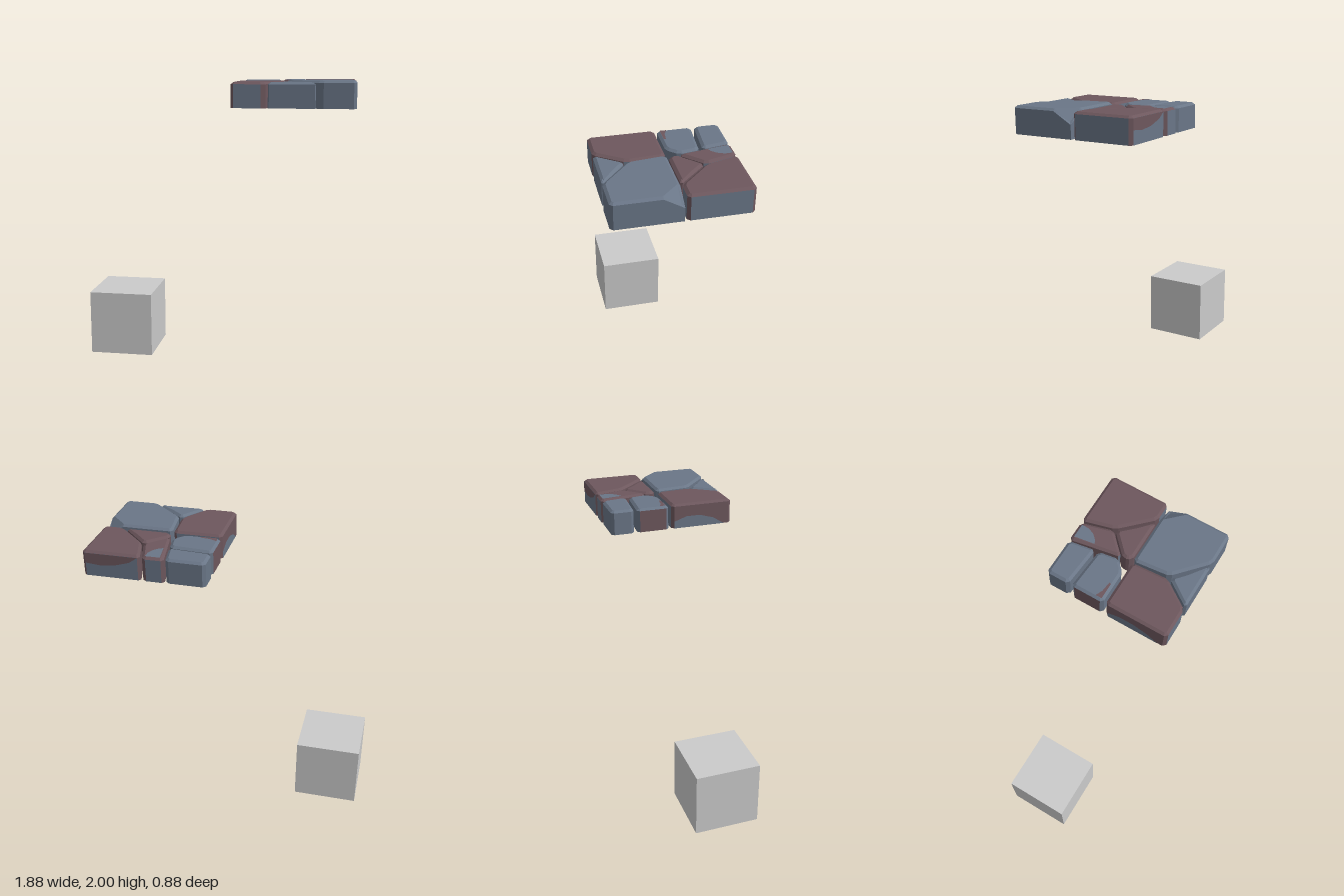
import * as THREE from 'three';

const BASE = 1.82, BEVEL = 0.018;

// Clip sharp corners of a clockwise [x, z, drop] outline, leaving lowered and straight points alone.
function clipCorners(pts, size) {
  const out = [], n = pts.length;
  pts.forEach((p, i) => {
    const a = pts[(i + n - 1) % n], b = pts[(i + 1) % n];
    const la = Math.hypot(a[0] - p[0], a[1] - p[1]), lb = Math.hypot(b[0] - p[0], b[1] - p[1]);
    const ua = [(a[0] - p[0]) / la, (a[1] - p[1]) / la], ub = [(b[0] - p[0]) / lb, (b[1] - p[1]) / lb];
    if (p[2] || ua[0] * ub[0] + ua[1] * ub[1] < -0.97) { out.push(p); return; }
    for (const u of [ua, ub]) out.push([p[0] + u[0] * size, p[1] + u[1] * size]);
  });
  return out;
}

function edgeNormal(a, b) {
  const l = Math.hypot(b[0] - a[0], b[1] - a[1]);
  return [(b[1] - a[1]) / l, (a[0] - b[0]) / l];
}

function inset(pts, d) {
  const n = pts.length;
  return pts.map((p, i) => {
    const m = edgeNormal(pts[(i + n - 1) % n], p), k = edgeNormal(p, pts[(i + 1) % n]);
    const s = d / (1 + m[0] * k[0] + m[1] * k[1]);
    return [p[0] - (m[0] + k[0]) * s, p[1] - (m[1] + k[1]) * s, p[2]];
  });
}

// Bevelled paving stone; wallColor picks the material index of each wall from its normal.
function stoneGeometry(outline, height, topColor, wallColor) {
  const pts = clipCorners(outline, 0.02), n = pts.length, inner = inset(pts, BEVEL);
  const ring = (list, y) => list.map(p => [p[0], y === BASE ? y : y - (p[2] || 0), p[1]]);
  const low = ring(pts, BASE), mid = ring(pts, height - 0.014), top = ring(inner, height);
  const faces = [[], []];
  for (let i = 0; i < n; i++) {
    const j = (i + 1) % n;
    faces[wallColor(...edgeNormal(pts[i], pts[j]))].push(low[j], low[i], mid[i], low[j], mid[i], mid[j]);
    faces[topColor].push(mid[j], mid[i], top[i], mid[j], top[i], top[j]);
    if (i > 0 && i < n - 1) {
      faces[topColor].push(top[0], top[j], top[i]);
      faces[0].push(low[0], low[i], low[j]);
    }
  }
  const geo = new THREE.BufferGeometry();
  geo.setAttribute('position', new THREE.Float32BufferAttribute([...faces[0], ...faces[1]].flat(), 3));
  geo.addGroup(0, faces[0].length, 0);
  geo.addGroup(faces[0].length, faces[1].length, 1);
  geo.computeVertexNormals();
  return geo;
}

export function createModel() {
  const group = new THREE.Group();
  const material = (name, color) => {
    const m = new THREE.MeshStandardMaterial({ color });
    m.name = name;
    return m;
  };
  const slate = material('slate', 0x6a7687);
  const mauve = material('mauve', 0x6d575d);
  const grey = material('light grey', 0xcacaca);
  const add = (name, geo, mat) => {
    const mesh = new THREE.Mesh(geo, mat);
    mesh.name = name;
    group.add(mesh);
    return mesh;
  };

  // Plain cube on the ground
  add('cube', new THREE.BoxGeometry(0.456, 0.46, 0.456), grey).position.set(-0.717, 0.23, 0.032);

  // Wall colour rules
  const allSlate = () => 0;
  const leftMauve = nx => (nx < -0.9 ? 1 : 0);
  const innerMauve = (nx, nz) => (nx > 0.95 || nz > 0.95 || nz < -0.95 ? 0 : 1);
  const allMauve = () => 1;

  // Paving stones: name, clockwise outline, height, top colour, wall colours
  const stones = [
    ['backRightStone', [[0.115, -0.44], [0.378, -0.437], [0.408, -0.257], [0.115, -0.28]], 1.988, 0, allSlate],
    ['middleRightStone', [[0.115, -0.257], [0.41, -0.235], [0.432, -0.1], [0.36, -0.028], [0.115, -0.028]], 1.985, 0, leftMauve],
    ['backWedgeStone', [[0.388, -0.44], [0.532, -0.44], [0.592, -0.23], [0.45, -0.09]], 1.988, 1, innerMauve],
    ['backLeftStone', [[0.545, -0.44], [0.94, -0.44], [0.94, -0.022], [0.805, -0.022], [0.604, -0.225]], 1.993, 1, innerMauve],
    ['centreStone', [[0.595, -0.218], [0.785, -0.02], [0.47, -0.02], [0.45, -0.078]], 1.988, 1, allMauve],
    ['frontRightStone', [[0.115, -0.008], [0.452, -0.008], [0.468, 0.24], [0.335, 0.433], [0.115, 0.433]], 1.99, 1, innerMauve],
    ['frontWedgeStone', [[0.477, 0.252], [0.69, 0.433], [0.35, 0.433]], 1.99, 0, allSlate],
    // The last corner is broken off at a slant
    ['frontLeftStone', [[0.94, 0.12], [0.94, 0.435], [0.705, 0.435], [0.487, 0.24], [0.46, -0.008],
      [0.815, -0.008], [0.94, -0.008, 0.075]], 2, 0, allSlate],
  ];
  for (const [name, outline, height, top, walls] of stones)
    add(name, stoneGeometry(outline, height, top, walls), [slate, mauve]);

  // Flat painted patches
  const patch = pts => new THREE.ShapeGeometry(new THREE.Shape(pts.map(p => new THREE.Vector2(...p))));
  const topPatch = (name, pts, y, mat) =>
    add(name, patch(pts.map(([x, z]) => [x, -z])).rotateX(-Math.PI / 2).translate(0, y, 0), mat);
  topPatch('wedgeSlatePatch', [[0.416, -0.422], [0.515, -0.422], [0.515, -0.37], [0.495, -0.325],
    [0.465, -0.295], [0.437, -0.28]], 1.99, slate);
  topPatch('middleMauvePatch', [[0.133, -0.09], [0.18, -0.068], [0.25, -0.06], [0.25, -0.046], [0.133, -0.046]], 1.987, mauve);
  add('backWallMauvePatch', patch([[-0.92, 1.979], [-0.565, 1.979], [-0.62, 1.94], [-0.72, 1.91],
    [-0.82, 1.9], [-0.92, 1.91]]).rotateY(Math.PI).translate(0, 0, -0.442), mauve);
  add('sideWallSlatePatch', patch([[0.012, 1.82], [0.38, 1.82], [0.3, 1.87], [0.2, 1.9], [0.1, 1.9],
    [0.012, 1.87]]).rotateY(-Math.PI / 2).translate(0.113, 0, 0), slate);

  return group;
}
